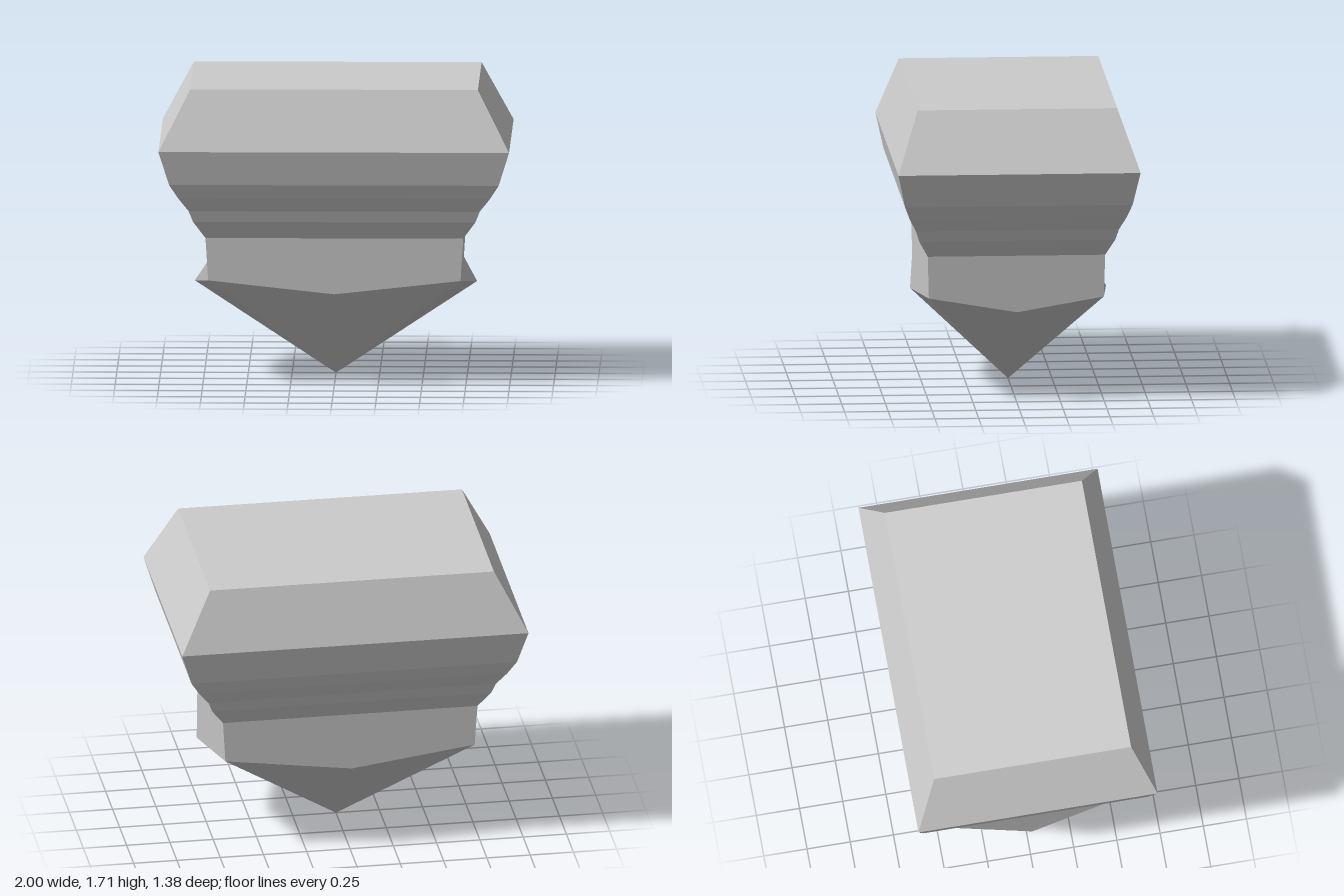
import * as THREE from 'three';

const material = new THREE.MeshStandardMaterial({ color: 0xcccccc });

// Four corners of a rectangular cross-section, counter-clockwise from above
const ring = ([y, x, z]) =>
  [[1, 1], [1, -1], [-1, -1], [-1, 1]].map(([sx, sz]) => new THREE.Vector3(sx * x, y, sz * z));

// Mesh of flat faces; each face is a list of triangles sharing the first one's normal
function facetMesh(name, faces) {
  const positions = [], normals = [];
  for (const triangles of faces) {
    const normal = new THREE.Triangle(...triangles[0]).getNormal(new THREE.Vector3());
    for (const p of triangles.flat()) {
      positions.push(p.x, p.y, p.z);
      normals.push(normal.x, normal.y, normal.z);
    }
  }
  const geometry = new THREE.BufferGeometry();
  geometry.setAttribute('position', new THREE.Float32BufferAttribute(positions, 3));
  geometry.setAttribute('normal', new THREE.Float32BufferAttribute(normals, 3));
  const mesh = new THREE.Mesh(geometry, material);
  mesh.name = name;
  return mesh;
}

// Two triangles for side i between a lower and an upper ring
function side(lower, upper, i) {
  const j = (i + 1) % 4;
  return [[lower[i], lower[j], upper[j]], [lower[i], upper[j], upper[i]]];
}

export function createModel() {
  const group = new THREE.Group();

  // Cross-sections from the neck up: height, half width, half depth
  const rings = [
    [0.845, 0.735, 0.507],
    [0.945, 0.805, 0.56],
    [1.01, 0.83, 0.58],
    [1.09, 0.89, 0.62],
    [1.17, 0.94, 0.65],
    [1.365, 1.0, 0.692],
    [1.71, 0.82, 0.57],
  ].map(ring);
  const neckBottom = ring([0.6, 0.72, 0.5]);

  // Stepped body with its bevelled crown and flat top
  const bodyFaces = [];
  for (let k = 0; k < rings.length - 1; k++)
    for (let i = 0; i < 4; i++) bodyFaces.push(side(rings[k], rings[k + 1], i));
  const top = rings[rings.length - 1];
  bodyFaces.push([[top[0], top[1], top[2]], [top[0], top[2], top[3]]]);
  group.add(facetMesh('steppedBody', bodyFaces));

  // Neck sides dip to a protruding midpoint; below, facets meet at the tip
  const tip = new THREE.Vector3(0, 0, 0);
  const midpoints = [[0.805, 0], [0, -0.56], [-0.805, 0], [0, 0.56]]
    .map(([x, z]) => new THREE.Vector3(x, 0.53, z));
  const neckFaces = [], pointFaces = [];
  midpoints.forEach((mid, i) => {
    const a = neckBottom[i], b = neckBottom[(i + 1) % 4];
    neckFaces.push([...side(neckBottom, rings[0], i), [a, mid, b]]);
    pointFaces.push([[tip, mid, a]], [[tip, b, mid]]);
  });
  group.add(facetMesh('neck', neckFaces), facetMesh('lowerPoint', pointFaces));

  return group;
}
